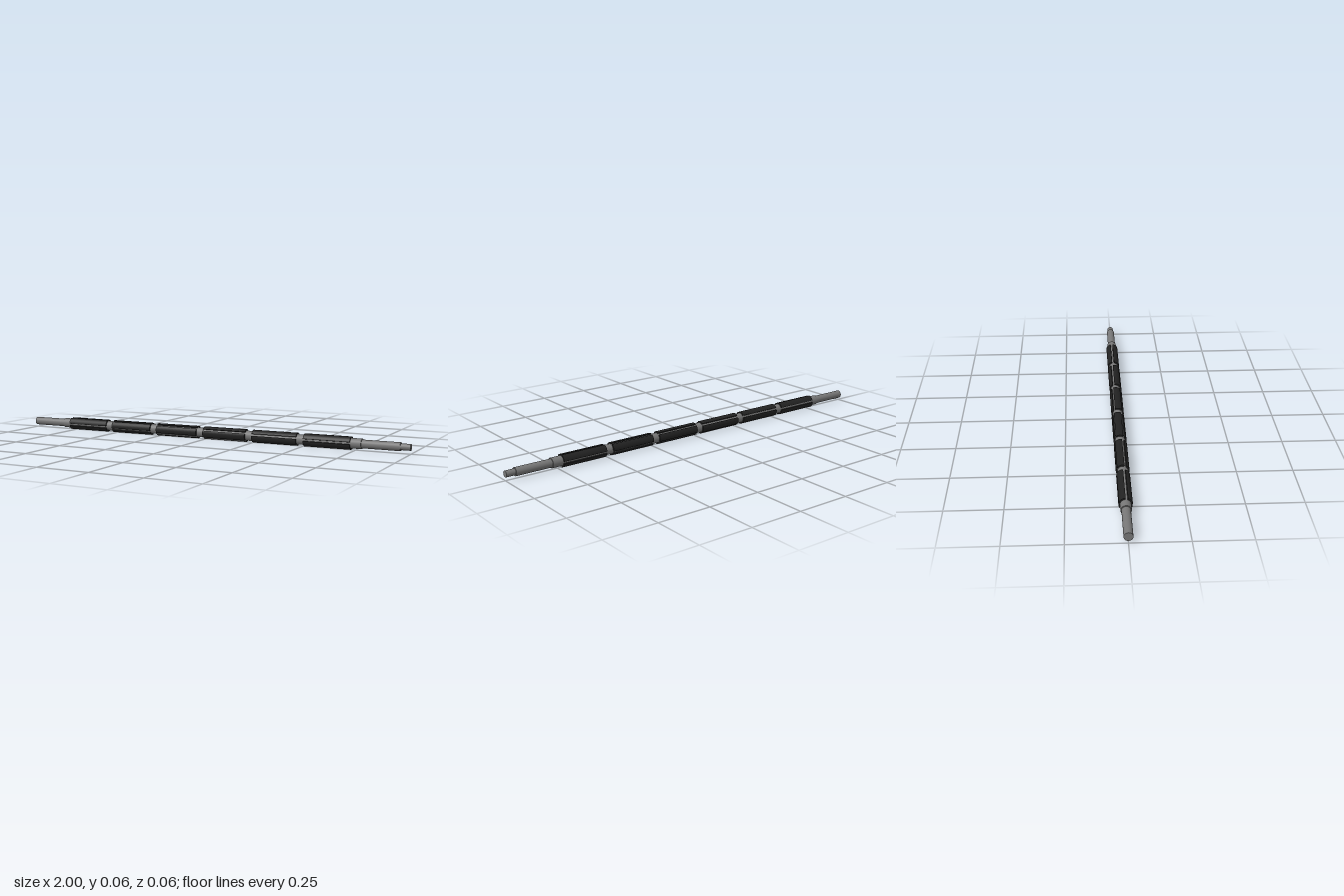
import * as THREE from 'three';

const AXIS_Y = 0.03;

// Capped cylinder lying along x between x0 and x1
function rod(name, x0, x1, r, material) {
  const geo = new THREE.CylinderGeometry(r, r, x1 - x0, 48);
  geo.rotateZ(-Math.PI / 2);
  const mesh = new THREE.Mesh(geo, material);
  mesh.name = name;
  mesh.position.set((x0 + x1) / 2, AXIS_Y, 0);
  return mesh;
}

// Curved pad: an arc-shaped section extruded along x
function padGeometry(inner, outer, arc, length) {
  const shape = new THREE.Shape();
  shape.absarc(0, 0, outer, -arc / 2, arc / 2, false);
  shape.absarc(0, 0, inner, arc / 2, -arc / 2, true);
  shape.closePath();
  const geo = new THREE.ExtrudeGeometry(shape, { depth: length, bevelEnabled: false, curveSegments: 16 });
  geo.rotateY(Math.PI / 2);
  return geo;
}

export function createModel() {
  const model = new THREE.Group();
  model.name = 'rotorShaft';
  const steel = new THREE.MeshStandardMaterial({ color: 0x777777 });
  const black = new THREE.MeshStandardMaterial({ color: 0x222222 });

  // Stepped shaft
  model.add(rod('shaft', -1, 0.955, 0.0195, steel));
  model.add(rod('shaftTip', 0.95, 1, 0.0148, steel));
  model.add(rod('core', -0.82, 0.78, 0.0235, steel));

  // Six rings of four pads, each ring turned a little from the last
  const poles = 4;
  const gap = THREE.MathUtils.degToRad(20);
  const geo = padGeometry(0.023, 0.03, (Math.PI * 2) / poles - gap, 0.222);
  for (let i = 0; i < 6; i++) {
    const ring = new THREE.Group();
    ring.name = 'padRing' + (i + 1);
    ring.position.set(-0.777 + i * 0.257, AXIS_Y, 0);
    ring.rotation.x = THREE.MathUtils.degToRad(45 - (80 - i * 15));
    for (let k = 0; k < poles; k++) {
      const pad = new THREE.Mesh(geo, black);
      pad.name = 'pad';
      pad.rotation.x = (k * Math.PI * 2) / poles;
      ring.add(pad);
    }
    model.add(ring);
  }
  return model;
}
